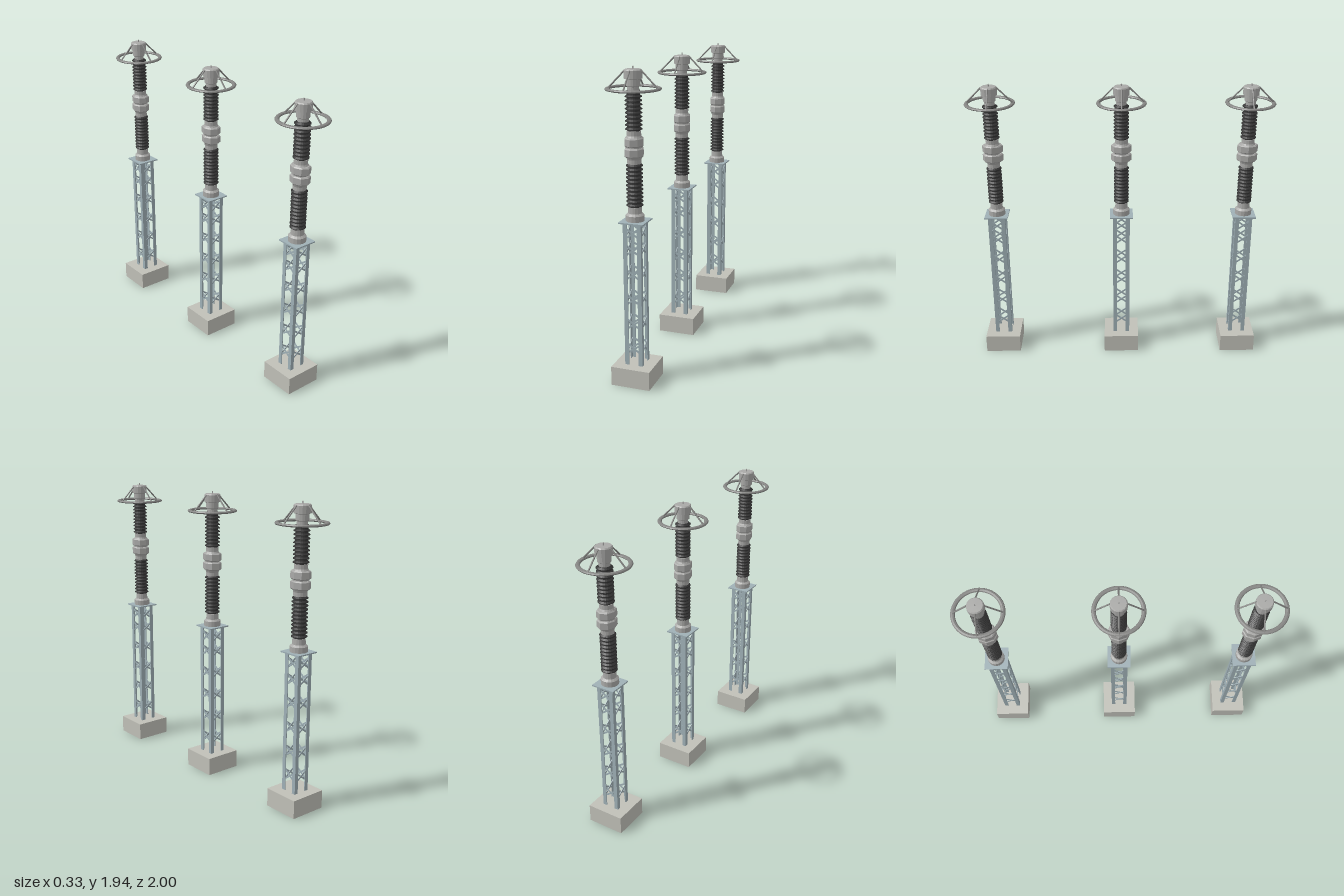
import * as THREE from 'three';

const mat = (color) => new THREE.MeshStandardMaterial({ color, flatShading: true });
const concrete = mat(0xc0c0b8), steel = mat(0x9fb0b6), porcelain = mat(0x343434);
const metal = mat(0xa9a9a7), ringMetal = mat(0x858583);

function add(parent, name, geometry, material, x = 0, y = 0, z = 0) {
  const mesh = new THREE.Mesh(geometry, material);
  mesh.name = name;
  mesh.position.set(x, y, z);
  parent.add(mesh);
  return mesh;
}

const box = (w, h, d) => new THREE.BoxGeometry(w, h, d);
const lathe = (points, sides) =>
  new THREE.LatheGeometry(points.map(([r, y]) => new THREE.Vector2(r, y)), sides);

// Round bar between two points
function rod(parent, name, a, b, radius, material) {
  const dir = b.clone().sub(a);
  const mesh = add(parent, name, new THREE.CylinderGeometry(radius, radius, dir.length(), 8), material);
  mesh.position.copy(a).add(b).multiplyScalar(0.5);
  mesh.quaternion.setFromUnitVectors(new THREE.Vector3(0, 1, 0), dir.normalize());
}

// Stack of sheds between two heights
function insulator(parent, name, y0, y1, count) {
  const pts = [[0, y0], [0.038, y0]];
  const step = (y1 - y0) / count;
  for (let i = 0; i < count; i++) {
    const y = y0 + i * step;
    pts.push([0.038, y + step * 0.3], [0.05, y + step * 0.38], [0.05, y + step * 0.55], [0.039, y + step * 0.9]);
  }
  pts.push([0.038, y1], [0, y1]);
  add(parent, name, lathe(pts, 20), porcelain);
}

// Lattice tower: four angle-iron legs with crossed bars on each face
function tower(parent) {
  const group = new THREE.Group();
  group.name = 'latticeTower';
  parent.add(group);
  const half = 0.057, flange = 0.026, t = 0.005, h = 0.91, mid = 0.12 + h / 2;
  for (const sx of [-1, 1]) for (const sz of [-1, 1]) {
    add(group, 'legFlange', box(flange, h, t), steel, sx * (half - flange / 2), mid, sz * (half - t / 2));
    add(group, 'legFlange', box(t, h, flange), steel, sx * (half - t / 2), mid, sz * (half - flange / 2));
  }
  for (let side = 0; side < 4; side++) {
    const face = new THREE.Group();
    face.name = 'braceFace';
    face.rotation.y = side * Math.PI / 2;
    group.add(face);
    for (const y of [0.225, 0.385, 0.543, 0.703, 0.855, 0.96]) for (const s of [-1, 1]) {
      const bar = add(face, 'crossBrace', box(0.105, 0.011, 0.004), steel, 0, y, half - t - (s > 0 ? 0.002 : 0.006));
      bar.rotation.z = s * 0.62;
    }
  }
  add(group, 'topPlate', box(0.156, 0.008, 0.156), steel, 0, 1.027, 0);
}

// Middle housing: two chamfered eight-sided drums, deeper than wide
function housing(parent) {
  add(parent, 'housingCore', lathe([[0, 1.375], [0.042, 1.375], [0.042, 1.4], [0.048, 1.415],
    [0.048, 1.53], [0.042, 1.54], [0.042, 1.568], [0, 1.568]], 16), metal);
  for (const y of [1.415, 1.476]) {
    const drum = add(parent, 'housingDrum', lathe([[0, 0], [0.05, 0], [0.057, 0.007],
      [0.057, 0.047], [0.05, 0.054], [0, 0.054]], 8), metal, 0, y, 0);
    drum.scale.z = 1.19;
  }
}

// Terminal head with grading ring and four struts
function head(parent) {
  add(parent, 'terminalHead', lathe([[0, 1.798], [0.034, 1.798], [0.034, 1.82], [0.041, 1.825], [0.041, 1.862],
    [0.053, 1.866], [0.053, 1.912], [0.047, 1.919], [0, 1.92]], 16), metal);
  add(parent, 'terminalPin', new THREE.CylinderGeometry(0.004, 0.004, 0.02, 8), metal, 0, 1.926, 0);
  const ring = add(parent, 'gradingRing', new THREE.TorusGeometry(0.149, 0.014, 8, 40), ringMetal, 0, 1.808, 0);
  ring.rotation.x = Math.PI / 2;
  ring.scale.z = 0.6;
  for (let i = 0; i < 4; i++) {
    const c = Math.cos(i * Math.PI / 2), s = Math.sin(i * Math.PI / 2);
    rod(parent, 'ringStrut', new THREE.Vector3(c * 0.152, 1.81, s * 0.152),
      new THREE.Vector3(c * 0.05, 1.912, s * 0.05), 0.005, ringMetal);
  }
}

export function createModel() {
  const model = new THREE.Group();
  model.name = 'surgeArresterRow';
  for (const z of [0.837, -0.008, -0.837]) {
    const column = new THREE.Group();
    column.name = 'arresterColumn';
    column.position.z = z;
    model.add(column);
    add(column, 'foundation', box(0.248, 0.12, 0.24), concrete, 0, 0.06, 0);
    tower(column);
    add(column, 'baseFlange', lathe([[0, 1.03], [0.056, 1.03], [0.056, 1.066], [0.042, 1.078],
      [0.04, 1.116], [0, 1.116]], 16), metal);
    insulator(column, 'lowerInsulator', 1.115, 1.376, 11);
    housing(column);
    insulator(column, 'upperInsulator', 1.567, 1.8, 10);
    head(column);
  }
  return model;
}
